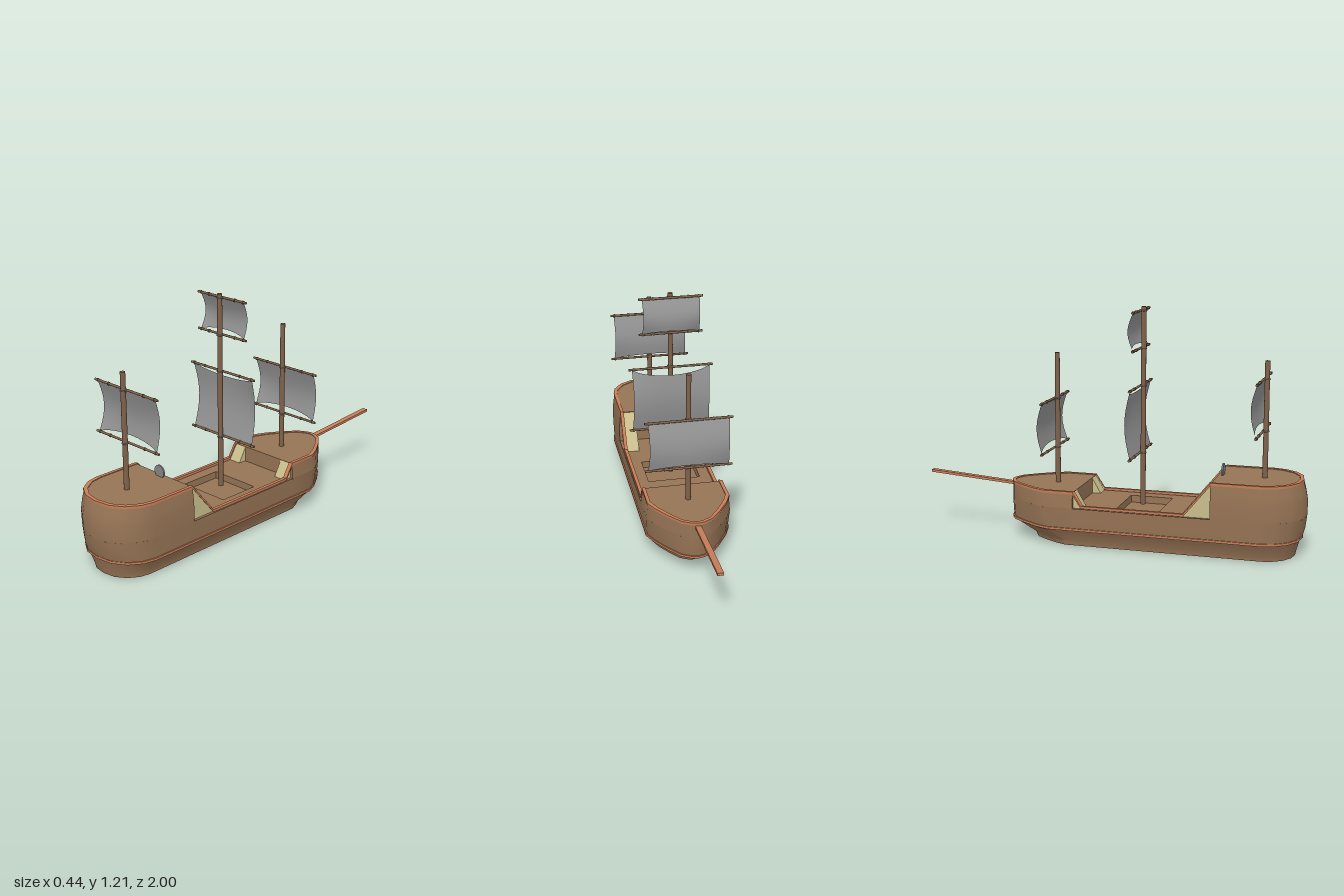
import * as THREE from 'three';
import { toCreasedNormals } from 'three/addons/utils/BufferGeometryUtils.js';

const mat = (name, color, side = THREE.FrontSide) => {
  const m = new THREE.MeshStandardMaterial({ color, side });
  m.name = name;
  return m;
};

// Surface through rows of points
function grid(rows, crease = 0.6) {
  const n = rows[0].length, idx = [];
  for (let j = 0; j < rows.length - 1; j++) {
    for (let i = 0; i < n - 1; i++) {
      const a = j * n + i, b = a + 1, c = a + n, d = c + 1;
      idx.push(a, b, c, b, d, c);
    }
  }
  const g = new THREE.BufferGeometry();
  g.setAttribute('position', new THREE.Float32BufferAttribute(rows.flat(2), 3));
  g.setIndex(idx);
  return toCreasedNormals(g, crease);
}

// Half outline of the hull from stern centre to bow tip; indices 5 and 6 are the bulkheads
const STERN = [[0, 1], [0.4, 0.93], [0.72, 0.7], [0.93, 0.35], [1, 0]];
const BOW = [[1, 0], [0.86, 0.27], [0.61, 0.6], [0.36, 0.87], [0.15, 0.97], [0, 1]];
const AFT = 0.555, FORE = -0.145;
function half([y, w, bowStart, bowEnd, sternEnd]) {
  return [
    ...STERN.map(([x, k]) => [x * w, y, 0.8 + k * (sternEnd - 0.8)]),
    [w, y, AFT], [w, y, FORE],
    ...BOW.map(([x, k]) => [x * w, y, bowStart + k * (bowEnd - bowStart)]),
  ];
}
const mirror = (pts) => pts.map(([x, y, z]) => [-x, y, z]).reverse();
const full = (l) => { const h = half(l); return [...h, ...mirror(h)]; };
const aftPart = (l) => { const h = half(l).slice(0, 6); return [...mirror(h), ...h.slice(1)]; };
const forePart = (l) => { const h = half(l).slice(6); return [...h, ...mirror(h).slice(1)]; };

// Levels: y, half width, bow taper start, bow tip, stern end
const KEEL = [[0, 0.165, -0.2, -0.405, 0.945], [0.025, 0.168, -0.21, -0.415, 0.95], [0.09, 0.207, -0.28, -0.53, 0.968]];
const WAIST = [0.205, 0.213, -0.3, -0.535, 0.998];
const SIDES = [[0.09, 0.207, -0.28, -0.53, 0.975], [0.14, 0.21, -0.29, -0.535, 0.99], WAIST];
const AFT_TOP = [0.38, 0.204, -0.3, -0.535, 0.975];
const FORE_TOP = [0.285, 0.205, -0.3, -0.535, 0.98];

export function createModel() {
  const ship = new THREE.Group();
  ship.name = 'sailingShip';
  const wood = mat('hullWood', 0x967455, THREE.DoubleSide);
  const mastWood = mat('mastWood', 0x80624a);
  const trim = mat('trimWood', 0xc67d58, THREE.DoubleSide);
  const stairWood = mat('stairWood', 0xc9be8b);
  const canvas = mat('sailCloth', 0x969696, THREE.DoubleSide);
  const metal = mat('greyFittings', 0x858585);

  const add = (name, geo, material, x = 0, y = 0, z = 0, parent = ship) => {
    const m = new THREE.Mesh(geo, material);
    m.name = name;
    m.position.set(x, y, z);
    parent.add(m);
    return m;
  };

  // Flat deck from an outline, with optional rectangular hole
  const deck = (name, pts, y, hole, down = false) => {
    const s = new THREE.Shape(pts.map(([x, , z]) => new THREE.Vector2(x, down ? z : -z)));
    if (hole) {
      const [hx, z0, z1] = hole;
      s.holes.push(new THREE.Path([[-hx, -z0], [hx, -z0], [hx, -z1], [-hx, -z1]].map((p) => new THREE.Vector2(...p))));
    }
    const g = new THREE.ShapeGeometry(s);
    g.rotateX(down ? Math.PI / 2 : -Math.PI / 2);
    add(name, g, wood, 0, y, 0);
  };

  // Hull and decks
  add('lowerHull', grid(KEEL.map(full)), wood);
  add('hullSides', grid(SIDES.map(full)), wood);
  add('sternCastle', grid([WAIST, [0.28, 0.215, -0.3, -0.535, 1], [0.33, 0.211, -0.3, -0.535, 0.99], AFT_TOP].map(aftPart)), wood);
  add('foreCastle', grid([WAIST, FORE_TOP].map(forePart)), wood);
  deck('hullBottom', full(KEEL[0]).slice(0, -1), 0, null, true);
  deck('mainDeck', full(WAIST).slice(0, -1), 0.203, [0.137, 0.065, 0.285]);
  deck('sternDeck', aftPart(AFT_TOP), 0.38);
  deck('foreDeck', forePart(FORE_TOP), 0.285);

  // Sunken cargo hatch
  add('hatchFloor', new THREE.BoxGeometry(0.274, 0.004, 0.22), wood, 0, 0.165, 0.175);
  for (const s of [-1, 1]) {
    add('hatchSideWall', new THREE.BoxGeometry(0.004, 0.038, 0.22), wood, s * 0.139, 0.184, 0.175);
    add('hatchEndWall', new THREE.BoxGeometry(0.274, 0.038, 0.004), wood, 0, 0.184, 0.175 + s * 0.112);
  }

  // Bulkheads, the aft one with a doorway
  const v = (pts) => pts.map((p) => new THREE.Vector2(...p));
  const wall = new THREE.Shape(v([[-0.213, 0.2], [0.213, 0.2], [0.215, 0.28], [0.204, 0.38], [-0.204, 0.38], [-0.215, 0.28]]));
  wall.holes.push(new THREE.Path(v([[-0.045, 0.206], [-0.045, 0.32], [0.045, 0.32], [0.045, 0.206]])));
  add('aftBulkhead', new THREE.ShapeGeometry(wall), wood, 0, 0, AFT);
  const foreWall = new THREE.Shape(v([[-0.213, 0.2], [0.213, 0.2], [0.205, 0.285], [-0.205, 0.285]]));
  add('foreBulkhead', new THREE.ShapeGeometry(foreWall), wood, 0, 0, FORE);

  // Stair wedges: high end at z0, foot at z1
  const stair = (name, x, width, z0, z1, h) => {
    const s = new THREE.Shape(v([[-z0, 0], [-z1, 0], [-z0, h]]));
    const g = new THREE.ExtrudeGeometry(s, { depth: width, bevelEnabled: false });
    g.rotateY(Math.PI / 2);
    add(name, g, stairWood, x - width / 2, 0.204, 0);
  };
  for (const s of [-1, 1]) {
    stair('sternStair', s * 0.162, 0.07, AFT, 0.415, 0.172);
    stair('bowStair', s * 0.162, 0.07, FORE, -0.1, 0.078);
  }
  stair('cabinStair', 0, 0.07, 0.66, 0.57, 0.08);

  // Waterline band
  const band = (y, o) => full([y, 0.206 + o, -0.28, -0.53 - o, 0.972 + o]);
  add('waterlineBand', grid([band(0.089, -0.004), band(0.089, 0.008), band(0.101, 0.008), band(0.101, -0.004)]), trim);

  // Rail following the stepped sheer line
  const railHalf = [
    ...half(AFT_TOP).slice(0, 6),
    [0.206, 0.215, 0.42], [0.206, 0.215, -0.1],
    ...half(FORE_TOP).slice(6),
  ];
  const railPath = [...railHalf, ...mirror(railHalf)];
  const railRow = (kx, kz, dy) => railPath.map(([x, y, z]) => [x * kx, y + dy, 0.2 + (z - 0.2) * kz]);
  const corners = [[0.93, 0.98, -0.009], [1.015, 1.004, -0.009], [1.015, 1.004, 0.004], [0.93, 0.98, 0.004], [0.93, 0.98, -0.009]];
  add('deckRail', grid(corners.map((c) => railRow(...c))), trim);

  // Bowsprit
  const sprit = add('bowsprit', new THREE.BoxGeometry(0.03, 0.013, 0.475), trim, 0, 0.281, -0.763);
  sprit.rotation.x = Math.atan2(0.035, 0.47);

  // Helm disc
  const helm = new THREE.CylinderGeometry(0.033, 0.033, 0.008, 20);
  helm.rotateX(Math.PI / 2);
  add('helmWheel', helm, metal, 0, 0.405, 0.577);

  // Billowing sail tied along one edge and at the corners of the free edge
  const sailGeometry = (w, tied, free, belly) => {
    const rows = [];
    for (let j = 0; j <= 12; j++) {
      const t = j / 12, row = [];
      for (let i = 0; i <= 16; i++) {
        const u = i / 8 - 1, mid = (1 - u * u) ** 0.7;
        const x = u * w * (1 - 0.025 * Math.sin(Math.PI * t));
        const y = tied + (free - tied) * (t - 0.1 * mid * t ** 3);
        const z = -belly * (Math.sin(Math.PI * t) * (0.85 - 0.1 * mid) + 0.75 * mid * t * t);
        row.push([x, y, z]);
      }
      rows.push(row);
    }
    return grid(rows, 1);
  };

  // Masts: z, foot, top, sails as [tied yard, free yard, half width]
  const masts = [
    ['mizzenMast', 0.785, 0.38, 0.96, [[0.87, 0.612, 0.202]]],
    ['mainMast', 0.165, 0.2, 1.205, [[0.468, 0.81, 0.202], [1.185, 0.998, 0.147]]],
    ['foreMast', -0.29, 0.285, 0.96, [[0.725, 0.468, 0.202]]],
  ];
  for (const [name, z, foot, top, sails] of masts) {
    const group = new THREE.Group();
    group.name = name;
    group.position.z = z;
    ship.add(group);
    add('mastPole', new THREE.CylinderGeometry(0.0125, 0.0135, top - foot, 16), mastWood, 0, (top + foot) / 2, 0, group);
    for (const [tied, free, w] of sails) {
      for (const y of [tied, free]) {
        const yard = new THREE.CylinderGeometry(0.006, 0.006, 2 * w + 0.032, 10);
        yard.rotateZ(Math.PI / 2);
        add('yard', yard, mastWood, 0, y, -0.015, group);
        for (const k of [-0.97, -0.6, 0.6, 0.97]) {
          const ring = new THREE.CylinderGeometry(0.0085, 0.0085, 0.005, 10);
          ring.rotateZ(Math.PI / 2);
          add('yardRing', ring, mastWood, k * w, y, -0.015, group);
        }
        const lash = new THREE.TorusGeometry(0.0145, 0.003, 6, 16);
        lash.rotateX(Math.PI / 2);
        add('yardLashing', lash, metal, 0, y, 0, group);
      }
      add('sail', sailGeometry(w, tied, free, 0.034), canvas, 0, 0, -0.015, group);
    }
  }
  return ship;
}
